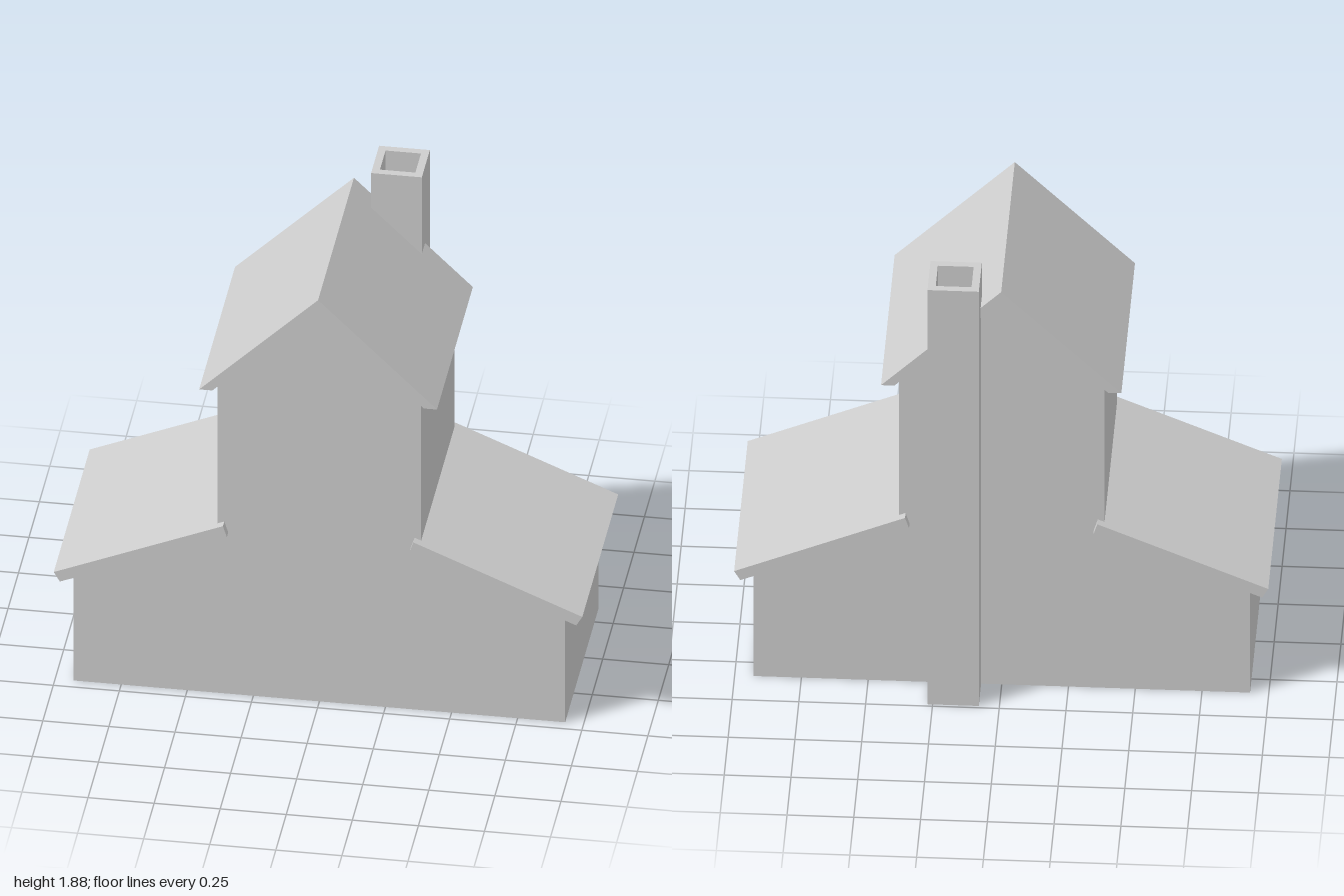
import * as THREE from 'three';

const plaster = new THREE.MeshStandardMaterial({ color: 0xcccccc });
plaster.name = 'plain grey';
const thinWall = new THREE.MeshStandardMaterial({ color: 0xcccccc, side: THREE.DoubleSide });
thinWall.name = 'plain grey wall';

const shapeOf = (pts) => new THREE.Shape(pts.map(([x, y]) => new THREE.Vector2(x, y)));

// Extrude an x-y outline between two z positions
function extrudeZ(pts, z0, z1) {
  const g = new THREE.ExtrudeGeometry(shapeOf(pts), { depth: z1 - z0, bevelEnabled: false });
  return g.translate(0, 0, z0);
}

// Keep only the vertical faces, leaving the shell open below and under the roofs
function verticalFaces(geometry) {
  const src = geometry.index ? geometry.toNonIndexed() : geometry;
  const p = src.attributes.position, n = src.attributes.normal;
  const pos = [], nor = [];
  for (let i = 0; i < p.count; i += 3) {
    if (Math.abs(n.getY(i)) > 0.1) continue;
    for (let k = i; k < i + 3; k++) {
      pos.push(p.getX(k), p.getY(k), p.getZ(k));
      nor.push(n.getX(k), n.getY(k), n.getZ(k));
    }
  }
  const g = new THREE.BufferGeometry();
  g.setAttribute('position', new THREE.Float32BufferAttribute(pos, 3));
  g.setAttribute('normal', new THREE.Float32BufferAttribute(nor, 3));
  return g;
}

export function createModel() {
  const house = new THREE.Group();
  house.name = 'house';
  const add = (name, geometry, material = plaster) => {
    const mesh = new THREE.Mesh(geometry, material);
    mesh.name = name;
    house.add(mesh);
  };

  // Hollow walls: tall centre with a low wing on each side
  const half = [[0.93, 0], [0.93, 0.474], [0.385, 0.698], [0.385, 1.375]];
  const mirrored = half.map(([x, y]) => [-x, y]).reverse();
  add('walls', verticalFaces(extrudeZ([...half, [0, 1.755], ...mirrored], -0.34, 0.455)), thinWall);

  // Gable roof with level-cut eaves
  add('mainRoof', extrudeZ(
    [[0.45, 1.36], [0, 1.8], [-0.45, 1.36], [-0.4, 1.36], [0, 1.755], [0.4, 1.36]], -0.373, 0.488));

  // Sloping slab over each wing
  const slab = [[0.345, 0.715], [0.977, 0.455], [1, 0.495], [0.36, 0.762]];
  for (const [name, s] of [['leftWingRoof', 1], ['rightWingRoof', -1]]) {
    add(name, extrudeZ(slab.map(([x, y]) => [s * x, y]), -0.373, 0.488));
  }

  // Square hollow chimney standing against the back wall
  const square = (r) => [[-r, -r], [r, -r], [r, r], [-r, r]];
  const ring = shapeOf(square(0.096));
  ring.holes.push(shapeOf(square(0.067)));
  const chimney = new THREE.ExtrudeGeometry(ring, { depth: 1.877, bevelEnabled: false });
  chimney.rotateX(-Math.PI / 2).translate(0.173, 0, -0.392);
  add('chimney', chimney);

  return house;
}
